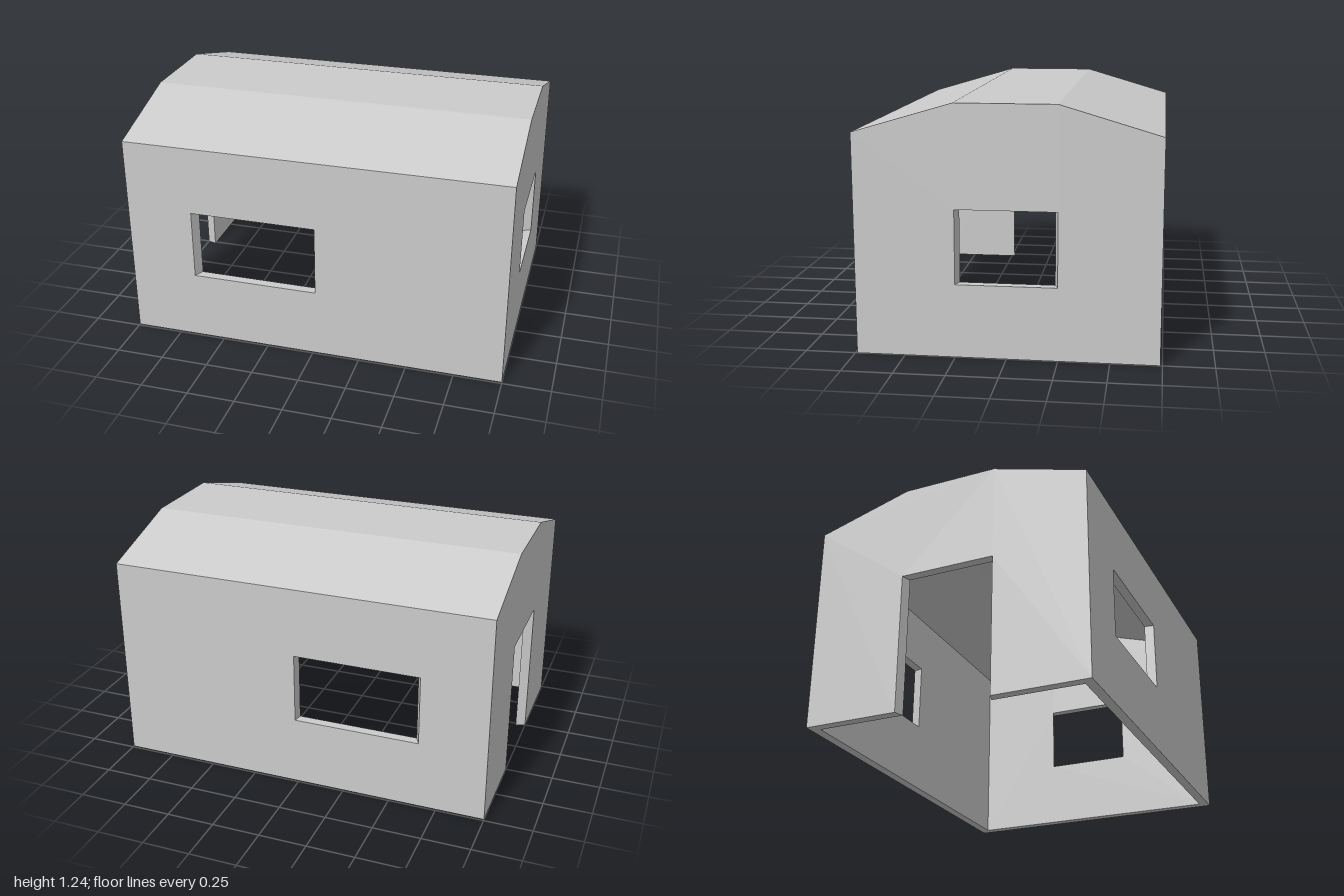
import * as THREE from 'three';

const X = 1, Z = 0.74, EAVE = 1.095, RIDGE = 1.24, BREAK = 0.248, WALL = 0.05;
const SILL = 0.365, HEAD = 0.733;

const material = new THREE.MeshStandardMaterial({ color: 0xcccccc, flatShading: true });

// Maps a point of the outer skin to the matching point of the inner skin
function inward([x, y, z]) {
  const shift = Math.abs(x) < 0.9 ? -0.008 : 0;
  return [x * (1 - WALL / X) + shift, y > 1 ? y - WALL : y, z * (1 - WALL / Z)];
}

function meshFrom(name, triangles) {
  const geometry = new THREE.BufferGeometry();
  geometry.setAttribute('position', new THREE.Float32BufferAttribute(triangles.flat(2), 3));
  geometry.computeVertexNormals();
  const mesh = new THREE.Mesh(geometry, material);
  mesh.name = name;
  return mesh;
}

const quad = (a, b, c, d) => [[a, b, c], [a, c, d]];

// Two-skinned wall: counterclockwise outline, clockwise openings, reveals and base strip
function wall(name, outline, openings, half, place) {
  const flat = (pts) => pts.map(([u, y]) => new THREE.Vector2(u, y));
  const points = [outline, ...openings].flat().map(([u, y]) => place(u, y));
  const faces = THREE.ShapeUtils.triangulateShape(flat(outline), openings.map(flat));
  const triangles = [];
  for (const [a, b, c] of faces) {
    triangles.push([points[a], points[b], points[c]]);
    triangles.push([inward(points[a]), inward(points[c]), inward(points[b])]);
  }
  for (const loop of [outline, ...openings]) {
    loop.forEach((p, i) => {
      const q = loop[(i + 1) % loop.length];
      const atCorner = Math.abs(p[0] + q[0]) / 2 > half - 0.001;
      if (atCorner || (p[1] + q[1]) / 2 > 1) return;
      const a = place(...p), b = place(...q);
      triangles.push(...quad(a, inward(a), inward(b), b));
    });
  }
  return meshFrom(name, triangles);
}

const windowHole = (u0, u1) => [[u0, SILL], [u0, HEAD], [u1, HEAD], [u1, SILL]];

export function createModel() {
  const group = new THREE.Group();
  group.name = 'house';

  // Long walls, each with one window off centre
  const longWall = [[-X, 0], [X, 0], [X, EAVE], [-X, EAVE]];
  group.add(wall('frontWall', longWall, [windowHole(-0.648, 0.015)], X, (u, y) => [u, y, Z]));
  group.add(wall('backWall', longWall, [windowHole(-0.015, 0.648)], X, (u, y) => [-u, y, -Z]));

  // Gable walls: a window on one end, a doorway on the other
  const gableTop = [[Z, 0], [Z, EAVE], [BREAK, RIDGE], [-BREAK, RIDGE], [-Z, EAVE], [-Z, 0]];
  const doorway = [[-BREAK, 0], [-BREAK, HEAD], [BREAK, HEAD], [BREAK, 0]];
  group.add(wall('windowGable', gableTop, [windowHole(-BREAK, BREAK)], Z, (u, y) => [X, y, -u]));
  group.add(wall('doorGable', [...gableTop, ...doorway], [], Z, (u, y) => [-X, y, u]));

  // Three-facet roof with its ceiling below
  const profile = [[Z, EAVE], [BREAK, RIDGE], [-BREAK, RIDGE], [-Z, EAVE]];
  const roof = [];
  for (let i = 0; i < 3; i++) {
    const [z0, y0] = profile[i], [z1, y1] = profile[i + 1];
    const corners = [[-X, y0, z0], [X, y0, z0], [X, y1, z1], [-X, y1, z1]];
    roof.push(...quad(...corners), ...quad(...corners.map(inward).reverse()));
  }
  group.add(meshFrom('roof', roof));
  return group;
}
